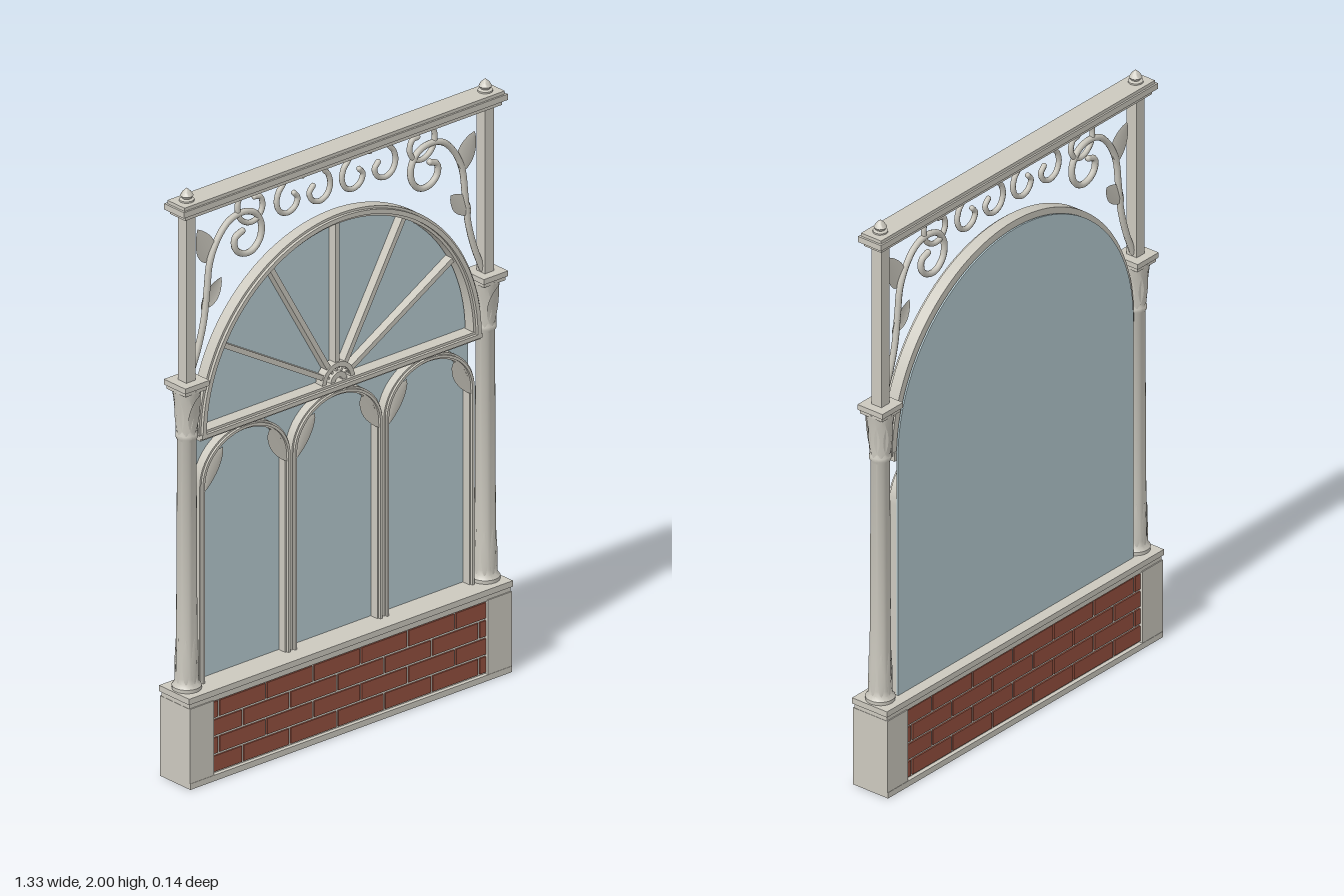
import * as THREE from 'three';
import { toCreasedNormals } from 'three/addons/utils/BufferGeometryUtils.js';

const stone = new THREE.MeshStandardMaterial({ color: 0xcbc8be, side: THREE.DoubleSide });
stone.name = 'painted stone';
const brick = new THREE.MeshStandardMaterial({ color: 0x94503f });
brick.name = 'red brick';
const glass = new THREE.MeshStandardMaterial({ color: 0xb5cad0, side: THREE.DoubleSide });
glass.name = 'pale glass';

const ARCH_Y = 1.155;

function add(parent, name, geometry, material = stone, x = 0, y = 0, z = 0) {
  const mesh = new THREE.Mesh(geometry, material);
  mesh.name = name;
  mesh.position.set(x, y, z);
  parent.add(mesh);
  return mesh;
}

// Box given by its width, bottom, top and depth
function slab(parent, name, w, y0, y1, d, x = 0, z = 0, material = stone) {
  return add(parent, name, new THREE.BoxGeometry(w, y1 - y0, d), material, x, (y0 + y1) / 2, z);
}

function lathe(points, sides = 24) {
  const geo = new THREE.LatheGeometry(points.map(([r, y]) => new THREE.Vector2(r, y)), sides);
  return toCreasedNormals(geo, 0.6);
}

function extrude(shape, depth) {
  const geo = new THREE.ExtrudeGeometry(shape, { depth, bevelEnabled: false, curveSegments: 32 });
  return toCreasedNormals(geo, 0.5);
}

// Round-headed outline; spring is the height where the head starts
function archShape(half, bottom, spring, rise, Type = THREE.Shape) {
  const s = new Type();
  s.moveTo(-half, bottom);
  s.lineTo(half, bottom);
  s.lineTo(half, spring);
  s.absellipse(0, spring, half, rise, 0, Math.PI, false, 0);
  s.lineTo(-half, bottom);
  return s;
}

function archFrame(half, width, bottom, spring, rise, depth) {
  const shape = archShape(half, bottom, spring, rise);
  shape.holes.push(archShape(half - width, bottom + 0.0005, spring, rise - width, THREE.Path));
  return extrude(shape, depth);
}

function halfRing(outer, inner, depth) {
  const s = new THREE.Shape();
  s.absarc(0, 0, outer, 0, Math.PI, false);
  s.absarc(0, 0, inner, Math.PI, 0, true);
  return extrude(s, depth);
}

// Pointed leaf growing along +y, folded on its midrib and curling toward +z
function leafGeometry(length, width, curl) {
  const geo = new THREE.PlaneGeometry(2, 1, 2, 10);
  const p = geo.attributes.position;
  for (let i = 0; i < p.count; i++) {
    const t = p.getY(i) + 0.5, side = p.getX(i);
    const w = width / 2 * Math.pow(Math.sin(Math.PI * Math.pow(t, 0.85)), 0.8) || 0;
    p.setXYZ(i, side * w, t * length, curl * t * t - Math.abs(side) * w * 0.25);
  }
  geo.computeVertexNormals();
  return geo;
}

// Leaf lying in the front plane between two points
function flatLeaf(parent, name, x0, y0, x1, y1, width, z) {
  const leaf = add(parent, name, leafGeometry(Math.hypot(x1 - x0, y1 - y0), width, 0), stone, x0, y0, z);
  leaf.rotation.z = Math.atan2(y1 - y0, x1 - x0) - Math.PI / 2;
}

function rod(parent, name, points, radius) {
  const curve = new THREE.CatmullRomCurve3(points.map(([x, y]) => new THREE.Vector3(x, y, 0)));
  add(parent, name, new THREE.TubeGeometry(curve, points.length * 6, radius, 8), stone);
  const ends = [points[0], points[points.length - 1]];
  for (const [x, y] of ends) add(parent, name + 'Tip', new THREE.SphereGeometry(radius, 8, 6), stone, x, y, 0);
}

function buildBase() {
  const g = new THREE.Group();
  g.name = 'base';
  slab(g, 'plinth', 1.32, 0, 0.02, 0.14);
  slab(g, 'wallCore', 1.13, 0.02, 0.27, 0.112);
  slab(g, 'sillLower', 1.32, 0.268, 0.288, 0.13);
  slab(g, 'sillUpper', 1.33, 0.288, 0.308, 0.14);
  for (const s of [-1, 1]) slab(g, 'pier', 0.098, 0.008, 0.272, 0.138, s * 0.612);
  // Running bond, visible from both sides
  const pitch = 0.194, gap = 0.008;
  for (let row = 0; row < 4; row++) {
    const y0 = 0.026 + row * 0.061;
    for (let k = -4; k <= 4; k++) {
      const left = k * pitch + (row % 2 ? 0.048 : -0.048);
      const a = Math.max(left + gap / 2, -0.562), b = Math.min(left + pitch - gap / 2, 0.562);
      if (b - a > 0.01) slab(g, 'brick', b - a, y0, y0 + 0.053, 0.122, (a + b) / 2, 0, brick);
    }
  }
  return g;
}

function buildColumn() {
  const g = new THREE.Group();
  g.name = 'column';
  add(g, 'shaft', lathe([[0, 0.305], [0.046, 0.305], [0.047, 0.32], [0.038, 0.332], [0.036, 0.35],
    [0.033, 0.48], [0.03, 1.15], [0.035, 1.16], [0.035, 1.17], [0.03, 1.18], [0.034, 1.25], [0.045, 1.325], [0, 1.325]]));
  slab(g, 'abacusLower', 0.088, 1.318, 1.332, 0.088);
  slab(g, 'abacusUpper', 0.1, 1.332, 1.35, 0.1);
  slab(g, 'upperPost', 0.038, 1.35, 1.915, 0.04);
  // Capital leaves, the largest facing front
  for (let i = 0; i < 8; i++) {
    const turn = new THREE.Group();
    turn.name = 'capitalLeaf';
    turn.rotation.y = i * Math.PI / 4;
    add(turn, 'leaf', leafGeometry(0.15, 0.045, i === 0 ? 0.028 : 0.012), stone, 0, 1.17, 0.034);
    g.add(turn);
  }
  // Slender sheath leaves at the foot
  for (let i = 0; i < 8; i++) {
    const turn = new THREE.Group();
    turn.name = 'footLeaf';
    turn.rotation.y = i * Math.PI / 4;
    add(turn, 'leaf', leafGeometry(0.16, 0.022, -0.003), stone, 0, 0.325, 0.038);
    g.add(turn);
  }
  add(g, 'finial', lathe([[0.024, 1.955], [0.024, 1.962], [0.015, 1.966], [0.021, 1.975], [0.013, 1.988], [0, 2]], 12));
  return g;
}

function buildWindow() {
  const g = new THREE.Group();
  g.name = 'window';
  add(g, 'pane', extrude(archShape(0.565, 0.305, ARCH_Y, 0.56), 0.006), glass, 0, 0, -0.031);
  // Large arch and its bead
  add(g, 'mainArch', halfRing(0.58, 0.548, 0.04), stone, 0, ARCH_Y, -0.02);
  add(g, 'mainArchBead', halfRing(0.572, 0.557, 0.01), stone, 0, ARCH_Y, 0.02);
  slab(g, 'transom', 1.15, 1.136, 1.166, 0.045, 0, -0.002);
  slab(g, 'transomBead', 1.15, 1.144, 1.158, 0.012, 0, 0.024);
  // Fanlight
  add(g, 'hubRing', halfRing(0.066, 0.05, 0.032), stone, 0, 1.162, -0.02);
  add(g, 'hub', halfRing(0.034, 0.016, 0.034), stone, 0, 1.162, -0.02);
  for (let i = 1; i <= 5; i++) {
    const a = i * Math.PI / 6, mid = 0.3;
    const bar = add(g, 'spoke', new THREE.BoxGeometry(0.5, 0.017, 0.03), stone,
      mid * Math.cos(a), ARCH_Y + mid * Math.sin(a), -0.008);
    bar.rotation.z = a;
    const small = add(g, 'hubSpoke', new THREE.BoxGeometry(0.03, 0.007, 0.025), stone,
      0.04 * Math.cos(a), 1.162 + 0.04 * Math.sin(a), -0.008);
    small.rotation.z = a;
  }
  // Three round-headed bays
  for (const x of [-0.378, 0, 0.378]) {
    const bay = new THREE.Group();
    bay.name = 'bay';
    bay.position.x = x;
    add(bay, 'bayFrame', archFrame(0.186, 0.021, 0.305, 0.975, 0.16, 0.03), stone, 0, 0, -0.025);
    add(bay, 'bayBead', archFrame(0.18, 0.009, 0.305, 0.975, 0.154, 0.008), stone, 0, 0, 0.005);
    for (const s of [-1, 1]) flatLeaf(bay, 'bayLeaf', s * 0.095, 1.085, s * 0.168, 0.955, 0.05, 0.01);
    g.add(bay);
  }
  return g;
}

// Scrollwork for the +x half
function buildScrolls() {
  const g = new THREE.Group();
  g.name = 'scrollwork';
  rod(g, 'vine', [[0.6, 1.36], [0.568, 1.44], [0.543, 1.53], [0.53, 1.63], [0.518, 1.72], [0.485, 1.79], [0.44, 1.835],
    [0.385, 1.848], [0.335, 1.832], [0.308, 1.79], [0.312, 1.74], [0.345, 1.707], [0.385, 1.708],
    [0.415, 1.735], [0.415, 1.77], [0.385, 1.785]], 0.0105);
  rod(g, 'tendril', [[0.395, 1.91], [0.405, 1.87], [0.395, 1.83], [0.36, 1.805], [0.325, 1.81], [0.302, 1.845], [0.312, 1.88], [0.335, 1.885]], 0.009);
  flatLeaf(g, 'upperLeaf', 0.515, 1.715, 0.562, 1.84, 0.075, 0.008);
  flatLeaf(g, 'lowerLeaf', 0.548, 1.565, 0.463, 1.65, 0.06, 0.008);
  // Pair of small facing hooks below the beam
  for (const [cx, s] of [[0.2, 1], [0.068, -1]]) {
    const hook = [[0.012, 1.912], [0.018, 1.892], [0.036, 1.87], [0.044, 1.835], [0.03, 1.803], [0, 1.79],
      [-0.03, 1.802], [-0.042, 1.83], [-0.027, 1.85]];
    rod(g, 'hook', hook.map(([x, y]) => [cx + s * x, y]), 0.009);
  }
  add(g, 'stub', new THREE.CylinderGeometry(0.007, 0.007, 0.025, 8), stone, 0.138, 1.902, 0);
  return g;
}

export function createModel() {
  const model = new THREE.Group();
  model.name = 'archedWindowPanel';
  model.add(buildBase(), buildWindow());
  for (const s of [-1, 1]) {
    const column = buildColumn();
    column.position.x = s * 0.613;
    model.add(column);
    const scrolls = buildScrolls();
    // Half turn mirrors the flat scrollwork to the other side
    if (s < 0) scrolls.rotation.y = Math.PI;
    model.add(scrolls);
  }
  // Top beam
  const beam = new THREE.Group();
  beam.name = 'topBeam';
  slab(beam, 'beamLower', 1.3, 1.91, 1.926, 0.07);
  slab(beam, 'beamMiddle', 1.33, 1.926, 1.946, 0.092);
  slab(beam, 'beamUpper', 1.315, 1.946, 1.957, 0.08);
  model.add(beam);
  return model;
}
